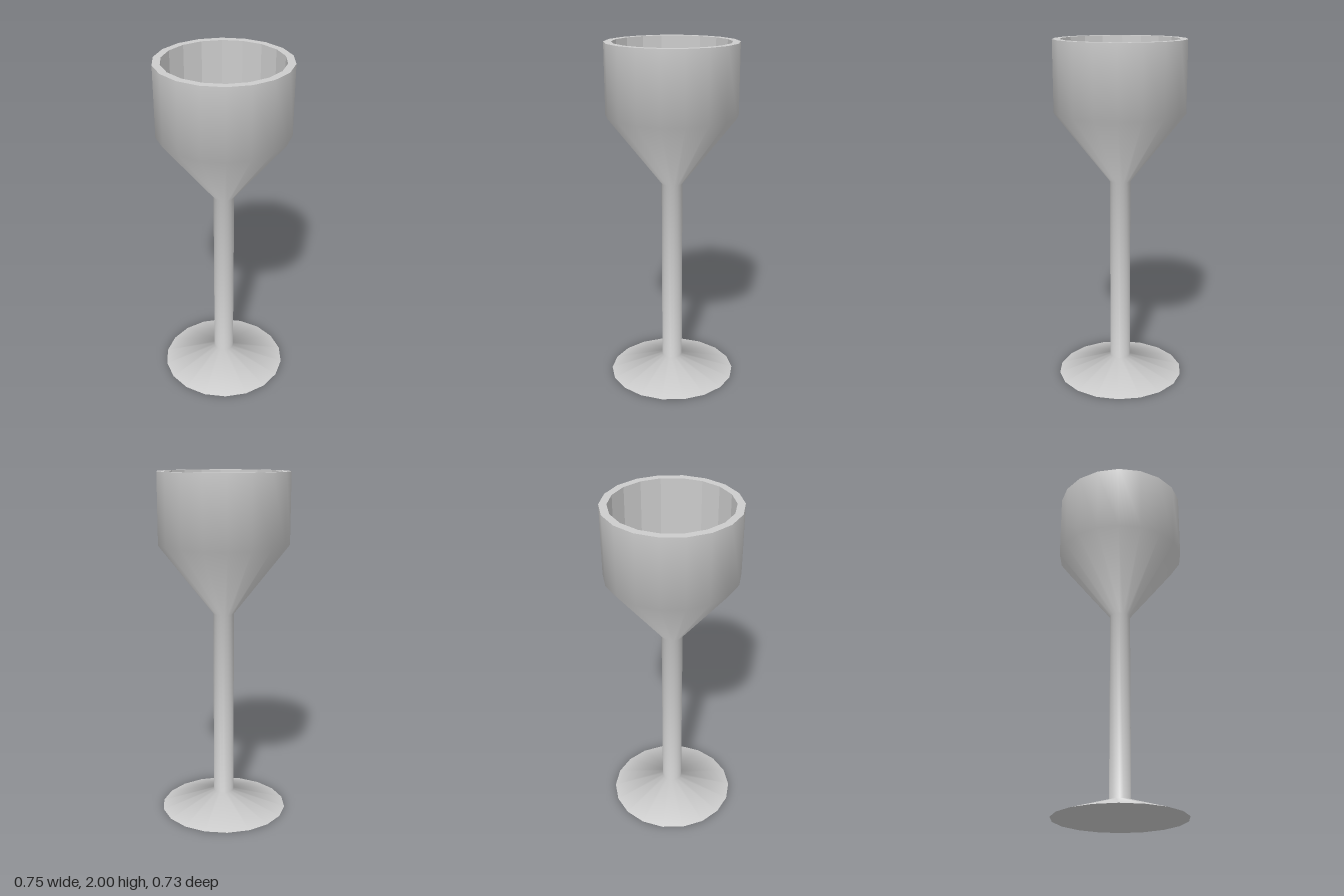
import * as THREE from 'three';

const SIDES = 18;

export function createModel() {
  const goblet = new THREE.Group();
  goblet.name = 'goblet';
  const smooth = new THREE.MeshStandardMaterial({ color: 0xcccccc });
  const flat = new THREE.MeshStandardMaterial({ color: 0xcccccc, flatShading: true });

  // Turns a [radius, height] profile around y, with a corner on the x axis
  const turn = (name, profile, material) => {
    const points = profile.map(([r, y]) => new THREE.Vector2(r, y));
    const mesh = new THREE.Mesh(new THREE.LatheGeometry(points, SIDES, Math.PI / 2), material);
    mesh.name = name;
    goblet.add(mesh);
  };

  const outer = 0.373, inner = 0.331, stem = 0.06;

  // Foot, stem and bowl share one smooth outer skin
  turn('outerBody', [[outer, 0], [stem, 0.1], [stem, 1.2], [outer, 1.6], [outer, 2]], smooth);
  turn('footUnderside', [[0, 0], [outer, 0]], flat);

  // Rim and hollow of the bowl, faceted
  turn('rim', [[outer, 2], [inner, 2]], flat);
  turn('innerWall', [[inner, 2], [inner, 1.6]], flat);
  turn('bowlFloor', [[inner, 1.6], [0, 1.6]], flat);

  return goblet;
}
